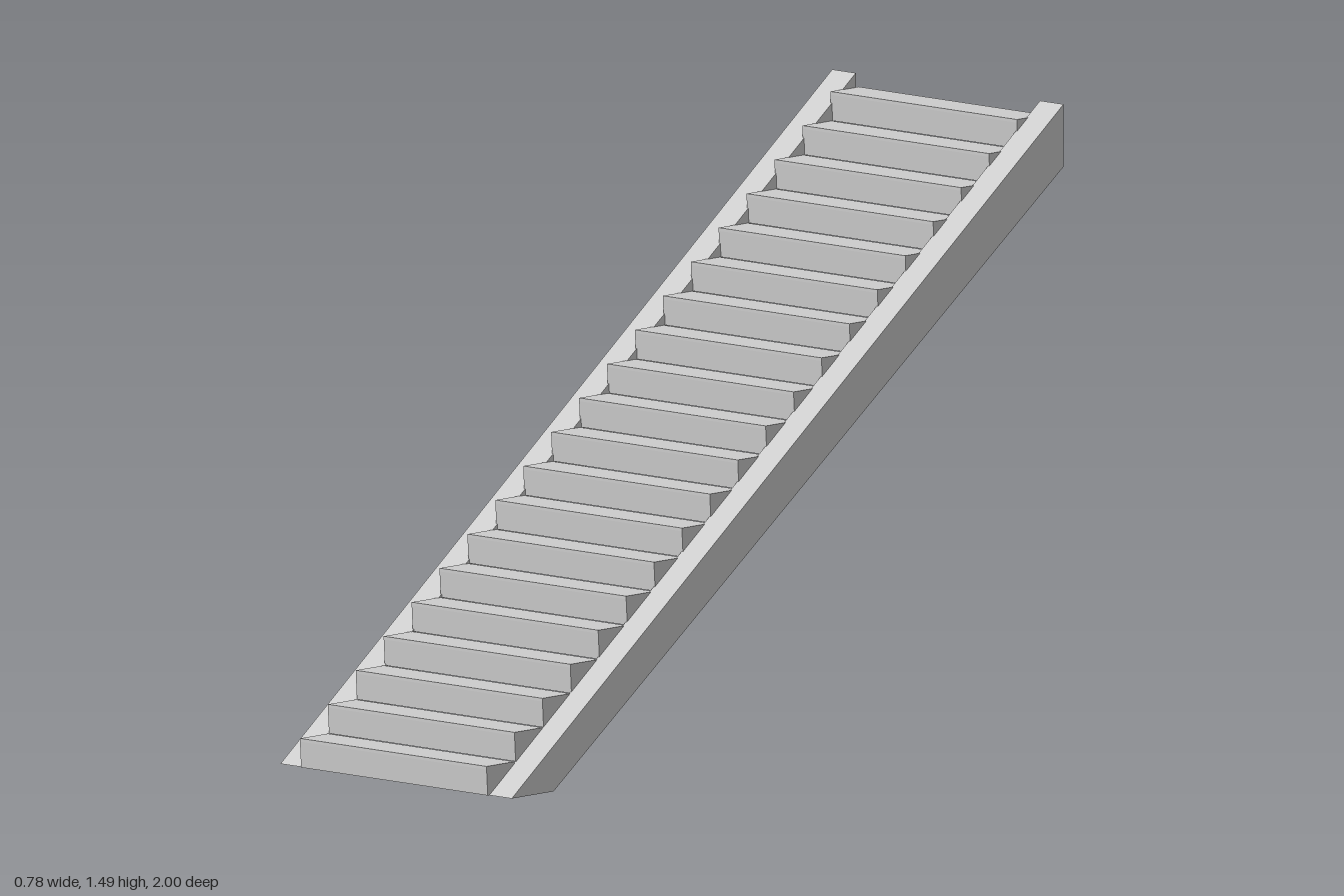
import * as THREE from 'three';

const STEPS = 20, RISE = 0.0726, RUN = 0.1, HALF_WIDTH = 0.313;

// Extrudes a side profile of [z, y] points across x from x0 to x1
function extrudeAcross(points, x0, x1) {
  const shape = new THREE.Shape(points.map(([z, y]) => new THREE.Vector2(-z, y)));
  const geometry = new THREE.ExtrudeGeometry(shape, { depth: x1 - x0, bevelEnabled: false });
  geometry.rotateY(Math.PI / 2);
  geometry.translate(x0, 0, 0);
  return geometry;
}

export function createModel() {
  const group = new THREE.Group();
  group.name = 'staircase';
  const grey = new THREE.MeshStandardMaterial({ color: 0xcccccc });
  grey.name = 'light grey';

  // Solid steps with a thin nosing and a riser that leans back slightly
  const stepGeometry = extrudeAcross([
    [0, 0], [0, RISE], [RUN, RISE], [RUN, RISE - 0.008], [RUN - 0.004, 0],
  ], -HALF_WIDTH, HALF_WIDTH);
  for (let i = 0; i < STEPS; i++) {
    const step = new THREE.Mesh(stepGeometry, grey);
    step.name = `step${i + 1}`;
    step.position.set(0, i * RISE, 1 - (i + 1) * RUN);
    group.add(step);
  }

  // Sloping side beams, cut level at the floor and upright at the top
  const profile = [[0.99, 0], [0.84, 0], [-0.987, 1.333], [-0.987, 1.488]];
  for (const [name, x0, x1] of [['leftStringer', 0.309, 0.388], ['rightStringer', -0.388, -0.309]]) {
    const stringer = new THREE.Mesh(extrudeAcross(profile, x0, x1), grey);
    stringer.name = name;
    group.add(stringer);
  }
  return group;
}
